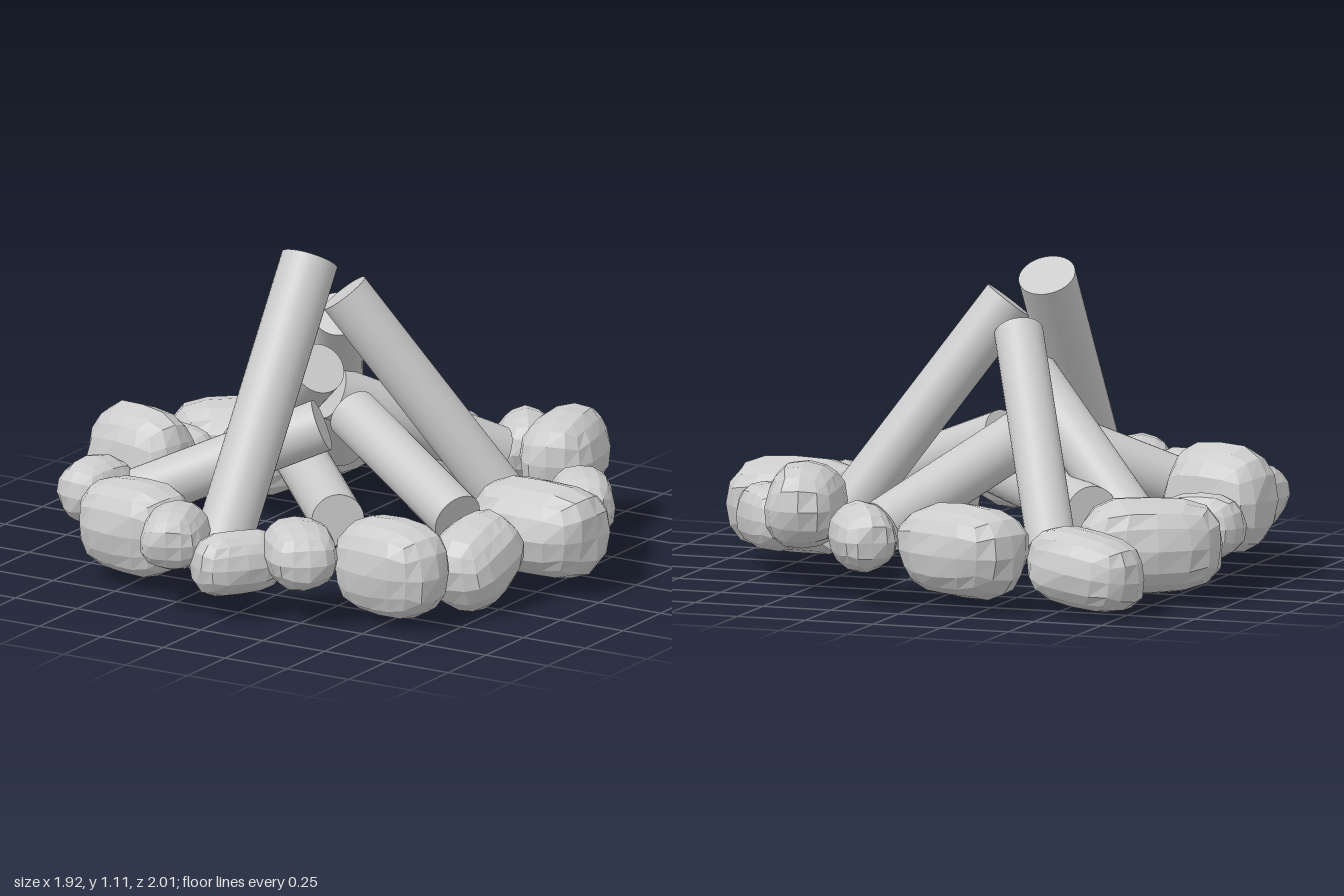
import * as THREE from 'three';

const smooth = new THREE.MeshStandardMaterial({ color: 0xcccccc });
const faceted = new THREE.MeshStandardMaterial({ color: 0xcccccc, flatShading: true });

// Logs: upper end, lower end, radius
const LOGS = [
  ['frontLog', [-0.175, 1.065, -0.01], [-0.175, 0.1, 0.63], 0.1],
  ['rightLog', [-0.03, 0.97, 0], [0.55, 0.13, -0.28], 0.09],
  ['backLeftLog', [-0.09, 0.87, -0.06], [-0.42, 0.21, -0.61], 0.085],
  ['leftLog', [-0.1, 0.7, 0.05], [-0.575, 0.27, -0.245], 0.092],
  ['backRightLog', [-0.18, 0.55, -0.16], [0.185, 0.26, -0.665], 0.095],
  ['frontLeftLog', [-0.05, 0.52, 0.115], [-0.61, 0.26, 0.405], 0.092],
  ['lowRightLog', [-0.05, 0.51, -0.09], [0.52, 0.28, 0.15], 0.092],
  ['lyingLog', [0.25, 0.32, 0.5], [-0.47, 0.3, -0.35], 0.092],
];

// Ring stones: x, y, z, length, height, width, heading in degrees, tilt
const STONES = [
  [-0.61, 0.17, -0.78, 0.43, 0.28, 0.29, 11, 0.15],
  [-0.155, 0.21, -0.78, 0.5, 0.33, 0.33, 24, 0],
  [0.19, 0.25, -0.85, 0.32, 0.24, 0.22, 56, 0],
  [0.48, 0.32, -0.63, 0.43, 0.3, 0.28, 77, 0],
  [0.7, 0.23, -0.385, 0.34, 0.24, 0.22, 50, 0],
  [0.725, 0.225, -0.07, 0.49, 0.34, 0.35, 3, 0],
  [0.66, 0.18, 0.27, 0.37, 0.3, 0.29, 92, -0.35],
  [0.51, 0.21, 0.57, 0.43, 0.35, 0.3, 10, 0],
  [0.225, 0.25, 0.715, 0.35, 0.24, 0.25, 46, 0],
  [0.025, 0.21, 0.8, 0.33, 0.23, 0.21, -54, 0],
  [-0.21, 0.28, 0.83, 0.33, 0.22, 0.23, 70, 0],
  [-0.49, 0.222, 0.635, 0.43, 0.34, 0.29, 10, 0],
  [-0.77, 0.26, 0.43, 0.29, 0.23, 0.2, 100, 0],
  [-0.76, 0.3, 0.14, 0.4, 0.38, 0.29, 13, 0],
  [-0.79, 0.24, -0.12, 0.3, 0.23, 0.21, 0, 0],
  [-0.715, 0.21, -0.43, 0.51, 0.35, 0.33, -31, 0],
];

function makeLog([name, top, bottom, radius]) {
  const a = new THREE.Vector3(...top), b = new THREE.Vector3(...bottom);
  const axis = a.clone().sub(b);
  const log = new THREE.Mesh(new THREE.CylinderGeometry(radius, radius, axis.length(), 32), smooth);
  log.name = name;
  log.position.copy(a).add(b).multiplyScalar(0.5);
  log.quaternion.setFromUnitVectors(new THREE.Vector3(0, 1, 0), axis.normalize());
  return log;
}

// A gridded cube rounded into a blunt-ended barrel, with uneven dents that differ per seed
function stoneGeometry(length, height, width, seed) {
  const geo = new THREE.BoxGeometry(2, 2, 2, 4, 4, 4);
  const pos = geo.attributes.position;
  const v = new THREE.Vector3();
  for (let i = 0; i < pos.count; i++) {
    v.fromBufferAttribute(pos, i);
    const round = Math.pow(Math.abs(v.y) ** 2.1 + Math.abs(v.z) ** 2.1, 1 / 2.1);
    v.divideScalar(Math.pow(Math.abs(v.x) ** 2.7 + round ** 2.7, 1 / 2.7));
    const dent = 1 + 0.03 * Math.sin(4.1 * v.x + seed * 2.3) * Math.cos(3.7 * v.y - seed)
      + 0.025 * Math.sin(4.6 * v.z + 3.1 * v.y + seed * 1.7);
    v.multiplyScalar(dent);
    pos.setXYZ(i, v.x * length / 2, v.y * height / 2, v.z * width / 2);
  }
  geo.computeVertexNormals();
  return geo;
}

export function createModel() {
  const model = new THREE.Group();
  model.name = 'campfire';

  // Leaning logs
  const logs = new THREE.Group();
  logs.name = 'logs';
  LOGS.forEach((spec) => logs.add(makeLog(spec)));

  // Ring of stones
  const ring = new THREE.Group();
  ring.name = 'stoneRing';
  STONES.forEach(([x, y, z, length, height, width, heading, tilt], i) => {
    const stone = new THREE.Mesh(stoneGeometry(length, height, width, i + 1), faceted);
    stone.name = `stone${i + 1}`;
    stone.position.set(x, y, z);
    stone.rotation.set(0, -THREE.MathUtils.degToRad(heading), tilt, 'YZX');
    ring.add(stone);
  });

  model.add(logs, ring);
  return model;
}
